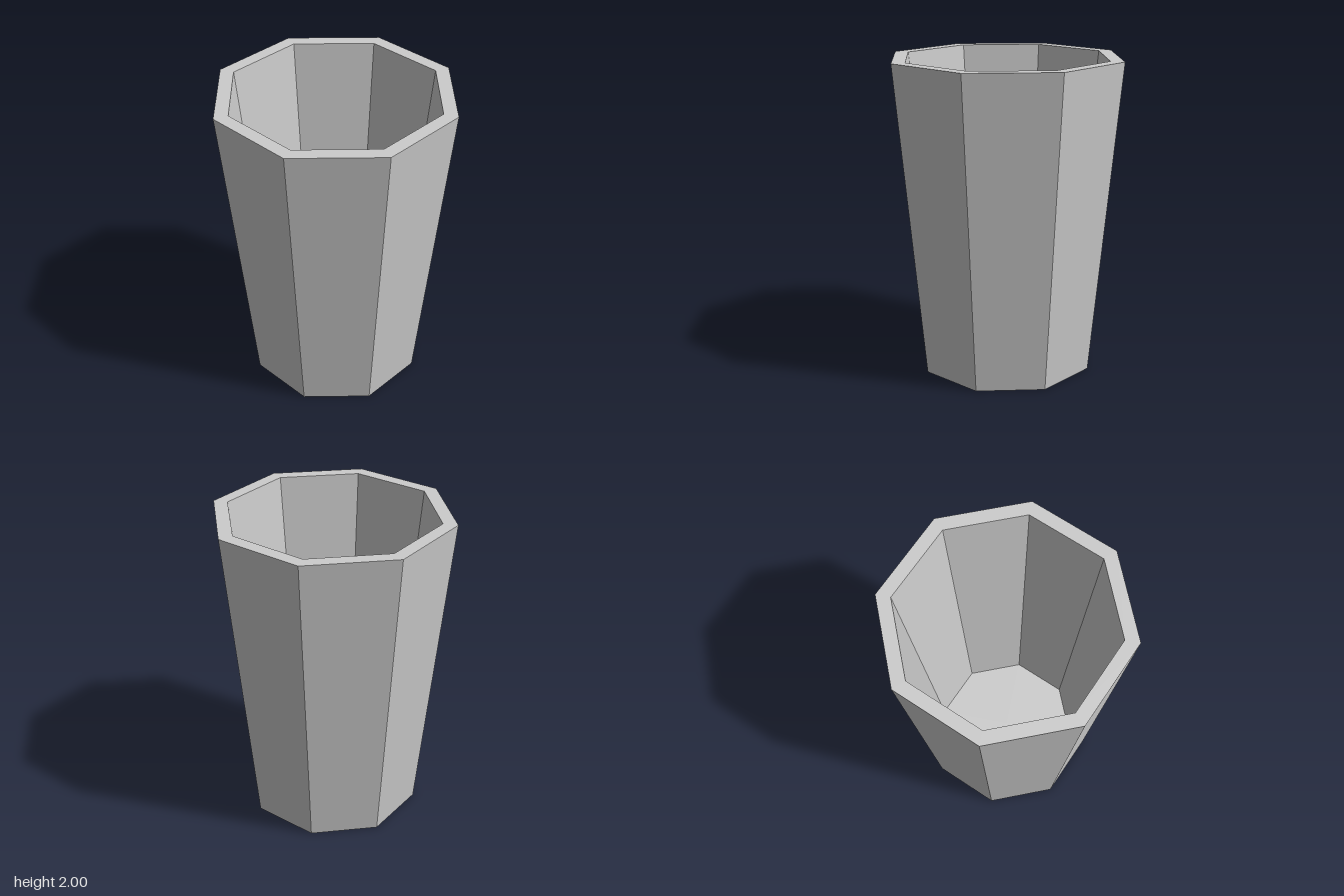
import * as THREE from 'three';

const SIDES = 8;

export function createModel() {
  const group = new THREE.Group();
  group.name = 'cup';

  // Closed profile: underside, outer wall, rim, inner wall, inner floor
  const profile = [
    [0, 0],
    [0.56, 0],
    [0.75, 2],
    [0.66, 2],
    [0.46, 0.1],
    [0, 0.1],
  ].map(([r, y]) => new THREE.Vector2(r, y));

  const body = new THREE.Mesh(
    new THREE.LatheGeometry(profile, SIDES),
    new THREE.MeshStandardMaterial({ color: 0xcccccc, flatShading: true })
  );
  body.name = 'cupBody';
  group.add(body);

  return group;
}
